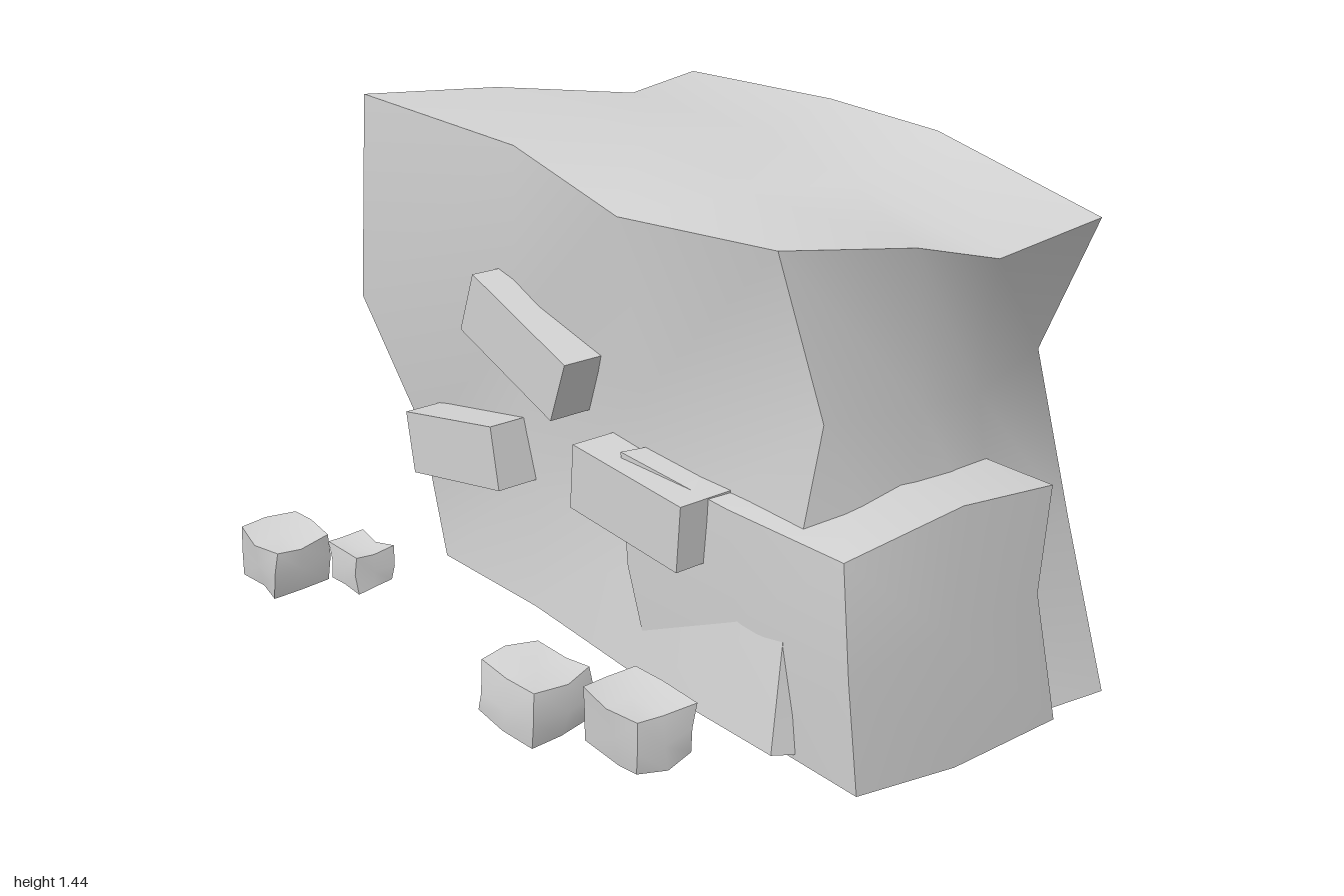
import * as THREE from 'three';

const stone = new THREE.MeshStandardMaterial({ color: 0xd4d4d4 });
stone.name = 'stone grey';

const V = (p) => new THREE.Vector3(...p);

// A warped box. Corners are numbered by bits (x=1, y=2, z=4).
// mids[axis][i] holds the points along edge i of that axis; null is straight.
// Every face is a patch blended from its four bent edges, smooth inside, sharp at the rim.
function block(name, n, corners, mids) {
  const c = corners.map(V);
  const edge = (axis, bits, k) => {
    const [o0, o1] = [0, 1, 2].filter((a) => a !== axis);
    const start = bits & ~(1 << axis), end = start | (1 << axis);
    const m = mids[axis][((bits >> o0) & 1) + 2 * ((bits >> o1) & 1)];
    if (k === 0) return c[start].clone();
    if (k === n) return c[end].clone();
    return m ? V(m[k - 1]) : c[start].clone().lerp(c[end], k / n);
  };
  const pos = [], index = [];
  for (let a = 0; a < 3; a++) for (let s = 0; s < 2; s++) {
    const u = (a + 1) % 3, v = (a + 2) % 3;
    const base = s << a, U = 1 << u, W = 1 << v, first = pos.length / 3;
    for (let j = 0; j <= n; j++) for (let i = 0; i <= n; i++) {
      const tu = i / n, tv = j / n;
      const p = edge(u, base, i).lerp(edge(u, base | W, i), tv);
      p.add(edge(v, base, j).lerp(edge(v, base | U, j), tu));
      p.sub(c[base].clone().lerp(c[base | U], tu)
        .lerp(c[base | W].clone().lerp(c[base | U | W], tu), tv));
      pos.push(p.x, p.y, p.z);
    }
    for (let j = 0; j < n; j++) for (let i = 0; i < n; i++) {
      const p = first + j * (n + 1) + i, q = p + 1, r = p + n + 1, t = r + 1;
      if (s) index.push(p, q, t, p, t, r);
      else index.push(p, t, q, p, r, t);
    }
  }
  const g = new THREE.BufferGeometry();
  g.setAttribute('position', new THREE.Float32BufferAttribute(pos, 3));
  g.setIndex(index);
  g.computeVertexNormals();
  const mesh = new THREE.Mesh(g, stone);
  mesh.name = name;
  return mesh;
}

// Small seeded random in -1..1
function seeded(seed) {
  return () => {
    seed = (seed * 16807) % 2147483647;
    return (seed / 2147483647) * 2 - 1;
  };
}

// Loose stone: a box with jittered corners and edge middles
function pebble(name, center, size, seed) {
  const rnd = seeded(seed);
  const at = (f, amount) => f.map((d, k) => center[k] + size[k] * (d * 0.46 + rnd() * amount));
  const corners = [];
  for (let b = 0; b < 8; b++) corners.push(at([0, 1, 2].map((k) => ((b >> k) & 1) * 2 - 1), 0.06));
  const mids = [0, 1, 2].map((axis) => [0, 1, 2, 3].map((i) => {
    const f = [i & 1 ? 1 : -1, i & 2 ? 1 : -1];
    f.splice(axis, 0, 0);
    return [at(f, 0.08)];
  }));
  return block(name, 2, corners, mids);
}

export function createModel() {
  const group = new THREE.Group();
  group.name = 'rockPile';

  // Large boulder
  group.add(block('mainBoulder', 3, [
    [-0.58, 0.18, -0.70], [0.90, 0.02, -0.66], [-0.80, 1.36, -0.75], [0.78, 1.24, -0.67],
    [-0.62, 0.16, 0.31], [0.77, 0.17, 0.38], [-0.76, 1.445, 0.41], [0.70, 1.32, 0.32],
  ], [
    [
      [[-0.16, 0.10, -0.68], [0.46, 0.005, -0.65]],
      [[-0.20, 1.37, -0.73], [0.30, 1.38, -0.61]],
      [[-0.15, 0.19, 0.35], [0.30, 0.16, 0.36]],
      [[-0.22, 1.39, 0.33], [0.20, 1.30, 0.35]],
    ],
    [
      [[-0.77, 0.56, -0.78], [-0.82, 0.95, -0.70]],
      [[0.71, 0.42, -0.72], [0.60, 0.86, -0.69]],
      [[-0.73, 0.50, 0.30], [-0.79, 0.90, 0.43]],
      [[0.75, 0.48, 0.325], [0.75, 0.92, 0.22]],
    ],
    [
      [[-0.66, 0.02, -0.27], [-0.55, 0.10, 0.05]],
      [[0.93, 0.085, -0.30], [0.88, 0.11, 0.05]],
      [[-0.62, 1.37, -0.37], [-0.72, 1.42, 0.02]],
      [[0.79, 1.21, -0.29], [0.80, 1.29, 0.00]],
    ],
  ]));

  // Lower boulder on the left (+x)
  group.add(block('leftBoulder', 2, [
    [0.30, 0.12, -0.35], [0.99, 0.09, -0.35], [0.30, 0.70, -0.35], [0.93, 0.68, -0.36],
    [0.30, 0.14, 0.33], [1.00, 0.155, 0.34], [0.23, 0.74, 0.37], [0.92, 0.68, 0.32],
  ], [
    [null, null, [[0.65, 0.14, 0.31]], [[0.56, 0.69, 0.33]]],
    [null, [[0.97, 0.44, -0.28]], [[0.24, 0.45, 0.36]], [[0.965, 0.42, 0.34]]],
    [null, [[0.985, 0.09, 0]], null, [[0.97, 0.74, 0]]],
  ]));

  // Lower boulder on the right (-x)
  group.add(block('rightBoulder', 2, [
    [-0.92, 0.16, -0.63], [-0.50, 0.15, -0.60], [-0.98, 0.61, -0.60], [-0.50, 0.68, -0.55],
    [-0.90, 0.20, 0.00], [-0.50, 0.15, 0.00], [-0.96, 0.65, -0.04], [-0.50, 0.65, -0.06],
  ], [
    [null, null, null, null],
    [[[-0.89, 0.40, -0.63]], null, [[-0.96, 0.40, 0.01]], null],
    [[[-0.90, 0.13, -0.30]], null, [[-1.00, 0.60, -0.30]], null],
  ]));

  // Slabs set into the front of the large boulder
  for (const [x, y, deg] of [[-0.13, 0.92, -21], [-0.41, 0.565, 10], [0.30, 0.635, -5]]) {
    const slab = new THREE.Mesh(new THREE.BoxGeometry(0.395, 0.168, 0.18), stone);
    slab.name = 'frontSlab';
    slab.position.set(x, y, 0.33);
    slab.rotation.z = THREE.MathUtils.degToRad(deg);
    group.add(slab);
  }

  // Loose stones in front
  [
    [[-0.84, 0.195, 0.69], [0.22, 0.15, 0.18]],
    [[-0.71, 0.175, 0.53], [0.16, 0.11, 0.12]],
    [[0.24, 0.205, 0.64], [0.22, 0.15, 0.18]],
    [[0.50, 0.20, 0.545], [0.23, 0.15, 0.17]],
  ].forEach(([center, size], i) => group.add(pebble('looseStone', center, size, 7919 * (i + 3))));

  return group;
}
